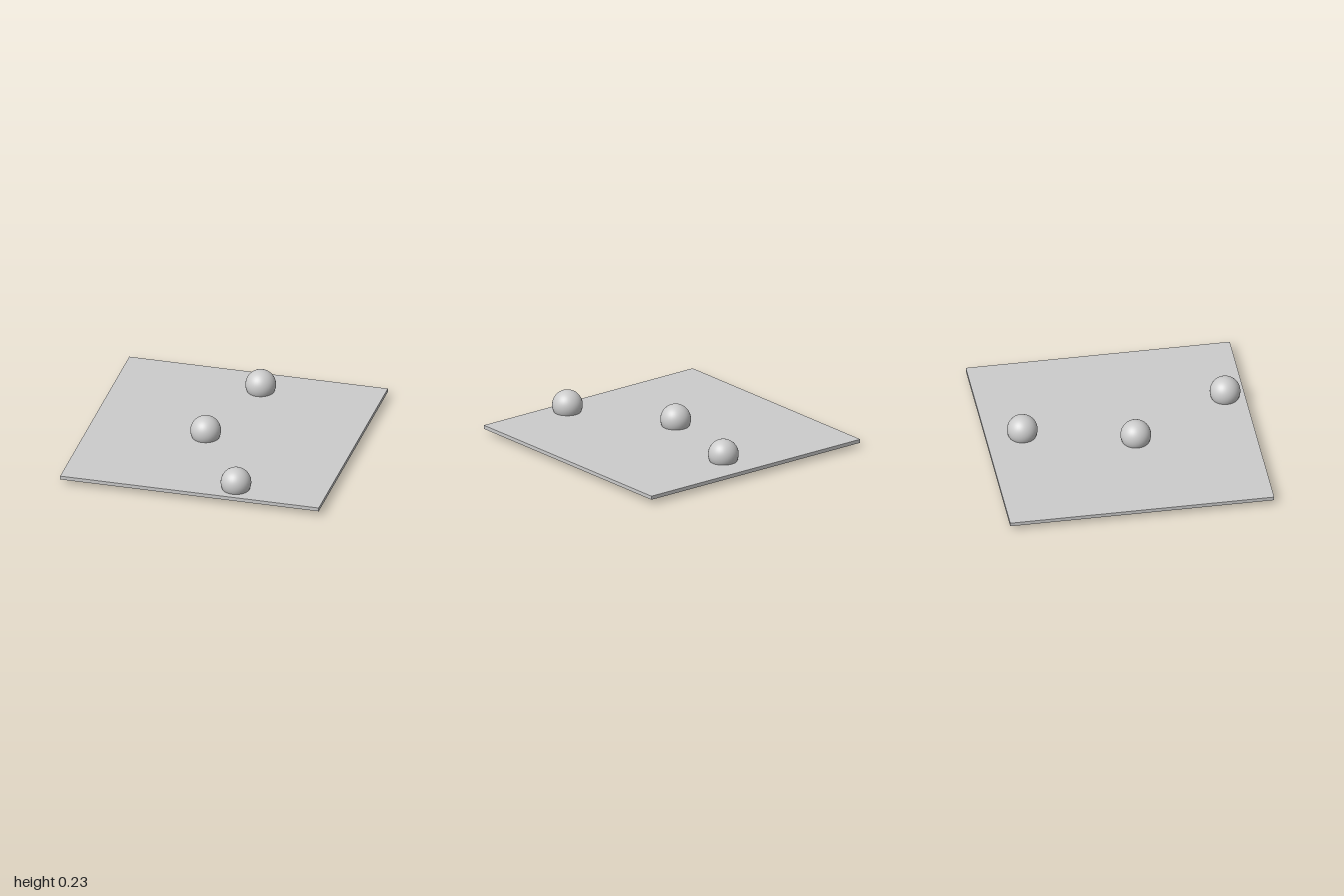
import * as THREE from 'three';

export function createModel() {
  const model = new THREE.Group();
  const material = new THREE.MeshStandardMaterial({ color: 0xcccccc });

  // Thin square plate
  const plate = new THREE.Mesh(new THREE.BoxGeometry(2, 0.028, 2), material);
  plate.name = 'plate';
  plate.position.y = 0.049;
  model.add(plate);

  // Balls sunk through the plate, their undersides touching the ground
  const radius = 0.115;
  const ballGeometry = new THREE.SphereGeometry(radius, 32, 24);
  const spots = [[0.09, -0.725], [-0.115, 0.1], [0.32, 0.85]];
  spots.forEach(([x, z], i) => {
    const ball = new THREE.Mesh(ballGeometry, material);
    ball.name = `ball${i + 1}`;
    ball.position.set(x, radius, z);
    model.add(ball);
  });

  return model;
}
